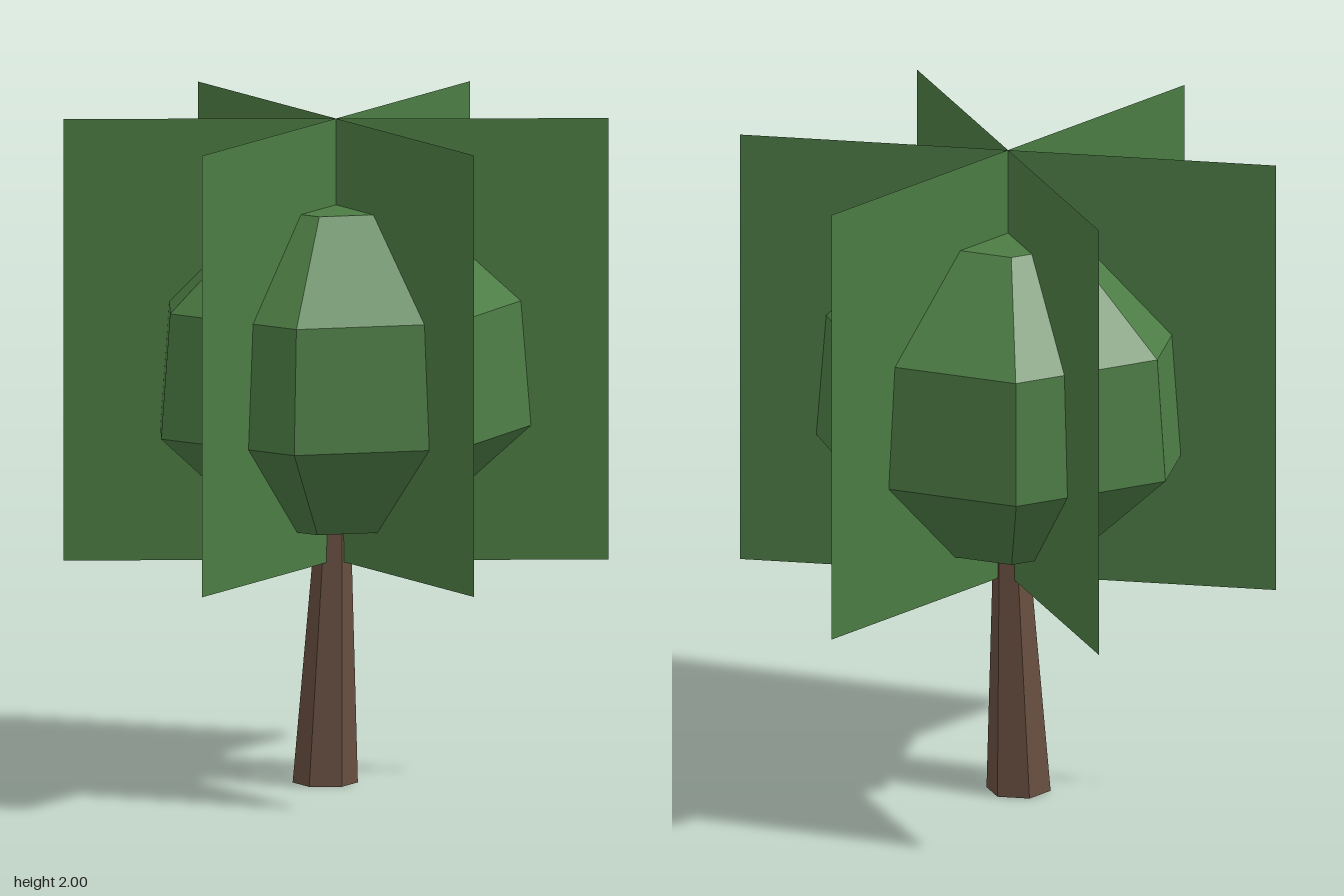
import * as THREE from 'three';

export function createModel() {
  const tree = new THREE.Group();
  tree.name = 'tree';

  const leafGreen = new THREE.MeshStandardMaterial({ color: 0x4c7c44, flatShading: true, side: THREE.DoubleSide });
  leafGreen.name = 'leaf green';
  const barkBrown = new THREE.MeshStandardMaterial({ color: 0x674e40, flatShading: true });
  barkBrown.name = 'bark brown';

  const add = (name, geometry, material) => {
    const mesh = new THREE.Mesh(geometry, material);
    mesh.name = name;
    tree.add(mesh);
    return mesh;
  };

  // Trunk: tapered hexagon, leaning slightly so its top sits under the crown centre
  const trunkHeight = 1.05;
  const trunk = new THREE.CylinderGeometry(0.037, 0.097, trunkHeight, 6, 1, false, Math.PI / 2);
  trunk.translate(0, trunkHeight / 2, 0);
  const pos = trunk.attributes.position;
  for (let i = 0; i < pos.count; i++) {
    pos.setX(i, pos.getX(i) - 0.032 * (1 - pos.getY(i) / trunkHeight));
  }
  trunk.computeVertexNormals();
  add('trunk', trunk, barkBrown);

  // Crown: seven-sided faceted ball with flat top and bottom
  const profile = [[0, 0.785], [0.257, 0.785], [0.58, 1.075], [0.55, 1.45], [0.232, 1.74], [0, 1.74]]
    .map(([r, y]) => new THREE.Vector2(r, y));
  add('crown', new THREE.LatheGeometry(profile, 7, Math.PI / 2), leafGreen);

  // Foliage cards: three upright sheets crossing on the centre line
  for (let i = 0; i < 3; i++) {
    const card = add(`foliageCard${i + 1}`, new THREE.PlaneGeometry(1.62, 1.33), leafGreen);
    card.position.y = 1.335;
    card.rotation.y = (i * Math.PI) / 3;
  }

  return tree;
}
